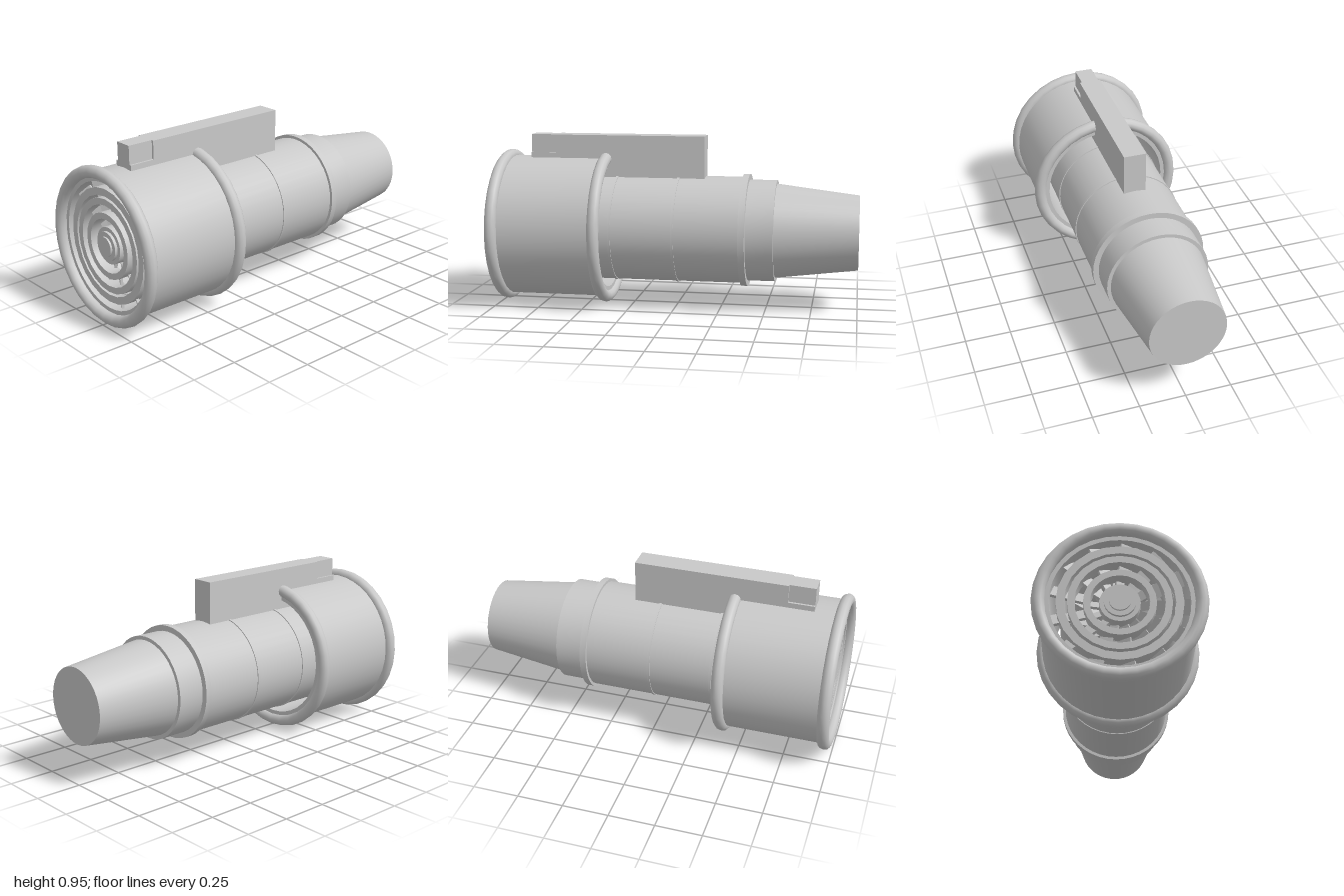
import * as THREE from 'three';
import { toCreasedNormals } from 'three/addons/utils/BufferGeometryUtils.js';

const AXIS_Y = 0.43;
const BLADES = 13;

export function createModel() {
  const metal = new THREE.MeshStandardMaterial({ color: 0xc8c8c8 });
  metal.name = 'lightGreyMetal';

  const model = new THREE.Group();
  model.name = 'jetEngine';
  const engine = new THREE.Group();
  engine.name = 'engineBody';
  engine.position.y = AXIS_Y;
  model.add(engine);

  const add = (name, geometry, parent = engine) => {
    const mesh = new THREE.Mesh(geometry, metal);
    mesh.name = name;
    parent.add(mesh);
    return mesh;
  };

  // Turned part: [radius, z] pairs, running forward along the outside
  const turned = (name, profile, segments = 32) => {
    const points = profile.map(([r, z]) => new THREE.Vector2(r, z));
    const lathe = new THREE.LatheGeometry(points, segments).rotateX(Math.PI / 2);
    return add(name, toCreasedNormals(lathe, 0.6));
  };

  const ring = (name, inner, outer, back, front, segments = 32) => turned(name, [
    [inner, back], [outer, back], [outer, front], [inner, front], [inner, back],
  ], segments);

  // Fan case with rounded lips at both ends
  ring('fanCase', 0.342, 0.395, 0.39, 0.955, 40);
  for (const [name, z] of [['frontLip', 0.967], ['rearLip', 0.4]]) {
    add(name, new THREE.TorusGeometry(0.395, 0.033, 12, 32)).position.z = z;
  }

  // Core casing, hollow inside, tapering to a closed tail
  turned('coreCasing', [
    [0, -1], [0.205, -1], [0.26, -0.55], [0.28, -0.55], [0.28, -0.39],
    [0.295, -0.39], [0.295, 0.9], [0.268, 0.9], [0.268, -0.3], [0, -0.3],
  ], 40);
  ring('coreFlange', 0.27, 0.311, -0.4, -0.365, 40);
  ring('coreBandRear', 0.28, 0.3, -0.017, -0.003, 40);
  ring('coreBandFront', 0.28, 0.3, 0.328, 0.342, 40);

  // Concentric intake rings
  ring('outerIntakeRing', 0.27, 0.31, 0.88, 0.95, 24);
  ring('middleIntakeRing', 0.22, 0.255, 0.88, 0.95, 24);
  ring('innerIntakeRing', 0.145, 0.178, 0.88, 0.95, 24);

  // Stepped hub and shaft
  turned('hub', [
    [0, 0.85], [0.1, 0.85], [0.1, 0.94], [0.078, 0.94],
    [0.078, 0.955], [0.053, 0.955], [0.053, 0.965], [0, 0.965],
  ], 24);
  ring('shaft', 0.02, 0.07, -0.3, 0.86, 20);

  // Wheels of pitched blades
  const bladeWheel = (name, inner, outer, width, z, phase = 0) => {
    const wheel = new THREE.Group();
    wheel.name = name;
    wheel.position.z = z;
    engine.add(wheel);
    const blade = new THREE.BoxGeometry(outer - inner, width, 0.014);
    blade.rotateX(0.5).translate((inner + outer) / 2, 0, 0);
    for (let i = 0; i < BLADES; i++) {
      add('blade', blade, wheel).rotation.z = phase + (i * 2 * Math.PI) / BLADES;
    }
  };
  bladeWheel('bypassVanes', 0.29, 0.35, 0.08, 0.9);
  bladeWheel('outerFanBlades', 0.17, 0.275, 0.07, 0.89);
  bladeWheel('innerFanBlades', 0.09, 0.16, 0.045, 0.88, 0.12);
  [0.7, 0.5, 0.3, 0.1].forEach((z, i) => {
    bladeWheel('compressorBlades', 0.06, 0.262, 0.06, z, 0.16 * (i + 1));
  });

  // Mounting pylon with a narrowed front tip
  const block = (name, width, y0, y1, z0, z1) => {
    const mesh = add(name, new THREE.BoxGeometry(width, y1 - y0, z1 - z0), model);
    mesh.position.set(0, (y0 + y1) / 2, (z0 + z1) / 2);
  };
  block('pylon', 0.122, 0.71, 0.95, -0.155, 0.685);
  block('pylonFrontBase', 0.122, 0.78, 0.85, 0.685, 0.827);
  block('pylonFrontTip', 0.098, 0.85, 0.95, 0.685, 0.827);

  return model;
}
